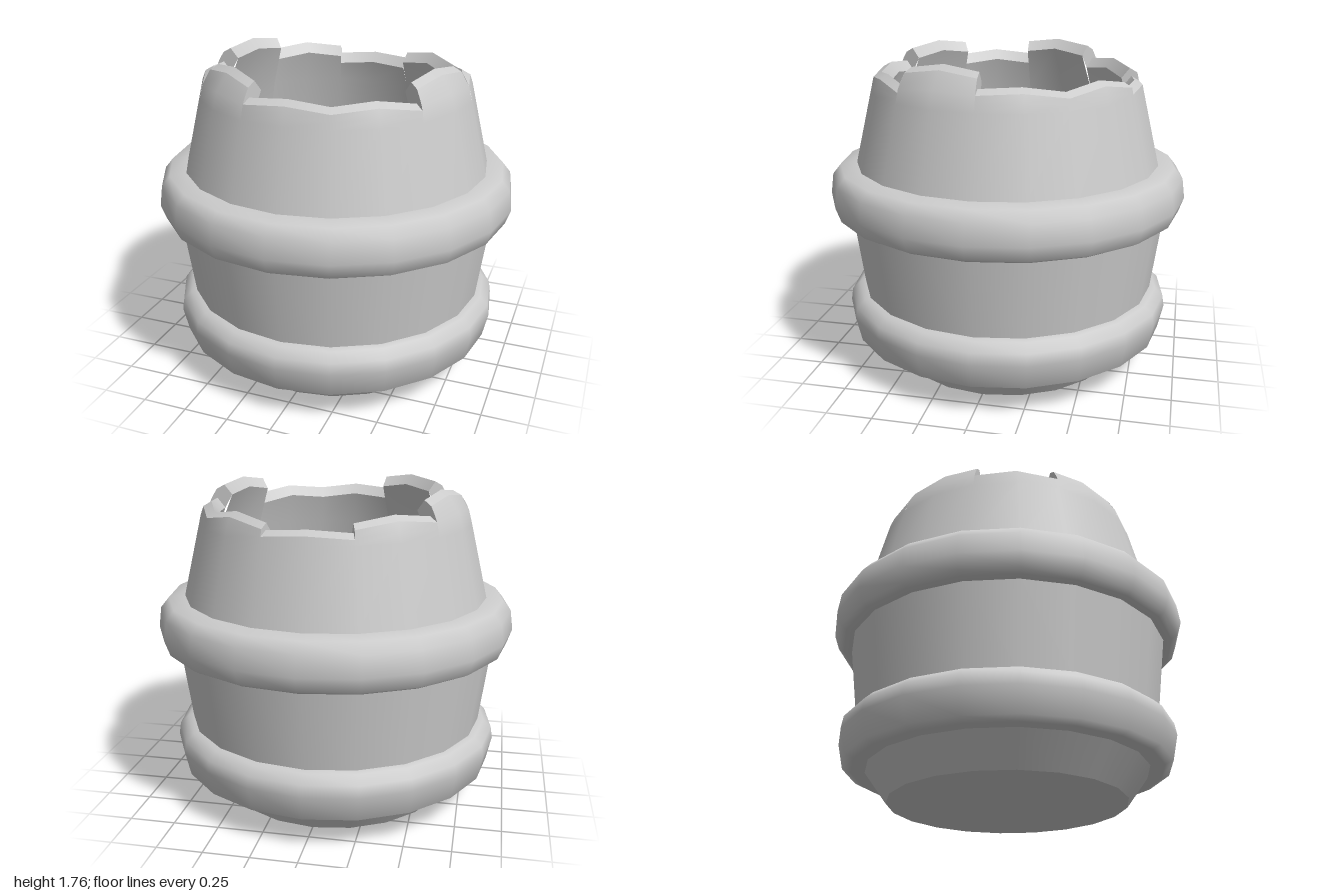
import * as THREE from 'three';

const SIDES = 20;
const STEP = (Math.PI * 2) / SIDES;
const BASE = 1.15; // where the upper wall leaves the top hoop

const material = new THREE.MeshStandardMaterial({ color: 0xcccccc });
const thin = new THREE.MeshStandardMaterial({ color: 0xcccccc, side: THREE.DoubleSide });

function addMesh(parent, name, geometry, mat = material) {
  const mesh = new THREE.Mesh(geometry, mat);
  mesh.name = name;
  parent.add(mesh);
}

function addLathe(parent, name, points) {
  const profile = points.map(([r, y]) => new THREE.Vector2(r, y));
  addMesh(parent, name, new THREE.LatheGeometry(profile, SIDES));
}

// Outer radius of the upper wall: nearly straight, curling inwards at the top
const CURVE = [[0.85, BASE], [0.735, 1.63], [0.70, 1.70], [0.655, 1.75]];
function wallRadius(y) {
  let i = 0;
  while (i < CURVE.length - 2 && y > CURVE[i + 1][1]) i++;
  const [r0, y0] = CURVE[i], [r1, y1] = CURVE[i + 1];
  return r0 + ((r1 - r0) * (y - y0)) / (y1 - y0);
}

// Key points of the wall's cross-section for a broken edge at height h
const outer = (y) => [wallRadius(y), y];
const crest = (h) => [wallRadius(h) - 0.045, h + 0.025];
const lip = (h) => [wallRadius(h) - 0.09, h - 0.03];

const outerStrip = (h) =>
  [BASE, 1.56, THREE.MathUtils.lerp(1.56, h, 0.5), h].map(outer);
const rimStrip = (h) => [outer(h), crest(h)];
const lipStrip = (h) => [crest(h), lip(h)];
const innerStrip = (h) => [lip(h), [wallRadius(1.45) - 0.085, 1.45], [0.77, BASE]];

// Sweeps a height-dependent profile around part of the barrel
function sweep(profileAt, first, heights) {
  const pos = [], nor = [], index = [];
  const rows = profileAt(heights[0]).length;
  heights.forEach((h, k) => {
    const a = (first + k) * STEP, s = Math.sin(a), c = Math.cos(a);
    const p = profileAt(h);
    p.forEach(([r, y], i) => {
      const p0 = p[Math.max(i - 1, 0)], p1 = p[Math.min(i + 1, rows - 1)];
      const n = new THREE.Vector2(p1[1] - p0[1], p0[0] - p1[0]).normalize();
      pos.push(r * s, y, r * c);
      nor.push(n.x * s, n.y, n.x * c);
      if (k < heights.length - 1 && i < rows - 1) {
        const v = k * rows + i, w = v + rows;
        index.push(v, w, w + 1, v, w + 1, v + 1);
      }
    });
  });
  const g = new THREE.BufferGeometry();
  g.setAttribute('position', new THREE.Float32BufferAttribute(pos, 3));
  g.setAttribute('normal', new THREE.Float32BufferAttribute(nor, 3));
  g.setIndex(index);
  return g;
}

// Upright end face where a tall stretch of wall meets a short one
function breakFace(column, h1, h2) {
  const lo = Math.min(h1, h2), hi = Math.max(h1, h2);
  const outline = [outer(lo), outer((lo + hi) / 2), outer(hi), crest(hi), lip(hi), lip(lo), crest(lo)];
  const shape = new THREE.Shape(outline.map(([r, y]) => new THREE.Vector2(r, y)));
  return new THREE.ShapeGeometry(shape).rotateY(column * STEP - Math.PI / 2);
}

// Broken stretches of the upper wall: first column, edge height at each column
const SECTIONS = [
  [-1, [1.635, 1.655, 1.63, 1.65, 1.615]],
  [3, [1.71, 1.74, 1.715]],
  [5, [1.64, 1.65, 1.62, 1.655, 1.62]],
  [9, [1.585, 1.6, 1.585]],
  [11, [1.63, 1.66, 1.635]],
  [13, [1.71, 1.74, 1.715]],
  [15, [1.635, 1.66, 1.635]],
  [17, [1.715, 1.74, 1.71]],
];

export function createModel() {
  const barrel = new THREE.Group();
  barrel.name = 'brokenBarrel';

  // Underside, tapered foot and middle wall
  addMesh(barrel, 'underside', new THREE.CircleGeometry(0.65, SIDES).rotateX(Math.PI / 2));
  addLathe(barrel, 'foot', [[0.65, 0], [0.775, 0.17]]);
  addLathe(barrel, 'middleWall', [[0.835, 0.42], [0.897, 0.89]]);

  // Rounded hoops
  addLathe(barrel, 'lowerHoop', [
    [0.765, 0.167], [0.85, 0.165], [0.895, 0.185], [0.925, 0.32],
    [0.915, 0.385], [0.87, 0.428], [0.83, 0.435],
  ]);
  addLathe(barrel, 'upperHoop', [
    [0.885, 0.882], [0.94, 0.882], [0.972, 0.9], [1.0, 0.98],
    [0.985, 1.09], [0.94, 1.145], [0.845, 1.155],
  ]);

  // Inside wall and floor
  addLathe(barrel, 'insideWall', [[0.77, BASE], [0.8, 0.9], [0.745, 0.42], [0.71, 0.165]]);
  addLathe(barrel, 'insideFoot', [[0.71, 0.165], [0.59, 0.05]]);
  addMesh(barrel, 'floor', new THREE.CircleGeometry(0.59, SIDES).rotateX(-Math.PI / 2).translate(0, 0.05, 0));

  // Upper wall with its broken edge
  const upper = new THREE.Group();
  upper.name = 'upperWall';
  barrel.add(upper);
  SECTIONS.forEach(([first, heights], i) => {
    addMesh(upper, 'outerWall', sweep(outerStrip, first, heights));
    addMesh(upper, 'brokenRim', sweep(rimStrip, first, heights));
    addMesh(upper, 'innerLip', sweep(lipStrip, first, heights));
    addMesh(upper, 'innerWall', sweep(innerStrip, first, heights));
    const next = SECTIONS[(i + 1) % SECTIONS.length];
    addMesh(upper, 'breakFace', breakFace(next[0], heights[heights.length - 1], next[1][0]), thin);
  });
  return barrel;
}
